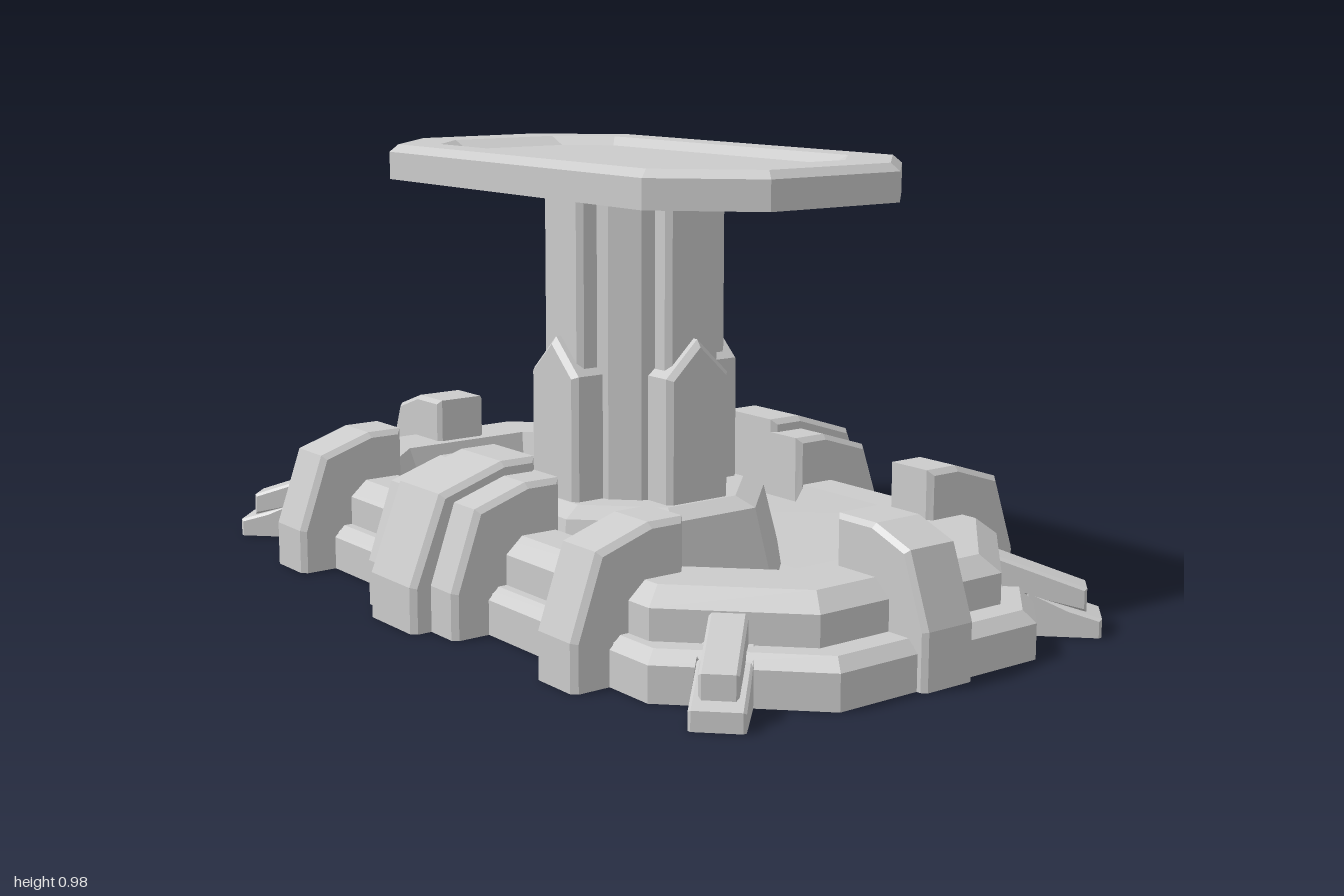
import * as THREE from 'three';

const material = new THREE.MeshStandardMaterial({ color: 0xcccccc, flatShading: true, side: THREE.DoubleSide });

function mesh(name, geometry) {
  const m = new THREE.Mesh(geometry, material);
  m.name = name;
  return m;
}

// Rectangle with cut corners: half sizes hx, hz and corner cut c
function octagon(hx, hz, c) {
  const a = hx - c, b = hz - c;
  return [[hx, b], [a, hz], [-a, hz], [-hx, b], [-hx, -b], [-a, -hz], [a, -hz], [hx, -b]];
}

// Open-bottomed shell through rings [y, hx, hz, c], closed by the last ring
function shell(name, rings) {
  const pos = [], index = [], n = 8;
  for (const [y, hx, hz, c] of rings) for (const [x, z] of octagon(hx, hz, c)) pos.push(x, y, z);
  for (let r = 0; r < rings.length - 1; r++) {
    for (let i = 0; i < n; i++) {
      const a = r * n + i, b = r * n + (i + 1) % n;
      index.push(a, a + n, b, b, a + n, b + n);
    }
  }
  const last = (rings.length - 1) * n;
  for (let i = 1; i < n - 1; i++) index.push(last, last + i + 1, last + i);
  const g = new THREE.BufferGeometry();
  g.setAttribute('position', new THREE.Float32BufferAttribute(pos, 3));
  g.setIndex(index);
  const flat = g.toNonIndexed();
  flat.computeVertexNormals();
  return mesh(name, flat);
}

// Bevelled slab: profile in x and y, centred across its width in z.
// Whatever dips below the ground is cut off there and left open.
function slab(name, points, width, bevel) {
  const shape = new THREE.Shape(points.map(p => new THREE.Vector2(...p)));
  const depth = width - 2 * bevel;
  const source = new THREE.ExtrudeGeometry(shape, {
    depth, bevelEnabled: true, bevelThickness: bevel, bevelSize: bevel, bevelOffset: -bevel, bevelSegments: 1,
  }).translate(0, 0, -depth / 2);
  const p = source.attributes.position, kept = [];
  for (let i = 0; i < p.count; i += 3) {
    const corners = [i, i + 1, i + 2];
    if (corners.every(k => p.getY(k) <= 0)) continue;
    for (const k of corners) kept.push(p.getX(k), Math.max(0, p.getY(k)), p.getZ(k));
  }
  const g = new THREE.BufferGeometry();
  g.setAttribute('position', new THREE.Float32BufferAttribute(kept, 3));
  g.computeVertexNormals();
  return mesh(name, g);
}

export function createModel() {
  const model = new THREE.Group();
  model.name = 'pedestalTable';

  // Stepped base with a sunken basin
  model.add(shell('base', [
    [0, 0.98, 0.52, 0.255], [0.075, 0.98, 0.52, 0.255], [0.1, 0.955, 0.495, 0.245],
    [0.1, 0.9, 0.475, 0.23], [0.165, 0.9, 0.475, 0.23], [0.2, 0.86, 0.435, 0.215],
    [0.2, 0.72, 0.35, 0.18], [0.02, 0.66, 0.29, 0.15],
  ]));

  // Flared collar round the foot of the column
  model.add(shell('collar', [
    [0, 0.34, 0.32, 0.19], [0.2, 0.285, 0.28, 0.165], [0.222, 0.24, 0.235, 0.14],
  ]));

  // Column: four flat pilasters with chamfered hollows between them
  const quarter = [[0.207, 0.058], [0.195, 0.07], [0.16, 0.07], [0.152, 0.1],
    [0.1, 0.152], [0.07, 0.16], [0.07, 0.195], [0.058, 0.207]];
  const outline = [];
  for (let k = 0; k < 4; k++) {
    for (const [x, y] of quarter) outline.push(new THREE.Vector2(x, y).rotateAround(new THREE.Vector2(), k * Math.PI / 2));
  }
  const columnGeometry = new THREE.ExtrudeGeometry(new THREE.Shape(outline), { depth: 0.74, bevelEnabled: false });
  columnGeometry.rotateX(-Math.PI / 2).translate(0, 0.2, 0);
  model.add(mesh('column', columnGeometry));

  // Pointed buttresses on the four sides of the column
  const pointed = [[-0.085, 0.15], [0.085, 0.15], [0.085, 0.5], [0, 0.58], [-0.085, 0.5]];
  for (let k = 0; k < 4; k++) {
    const buttress = slab('buttress', pointed, 0.13, 0.012);
    buttress.geometry.translate(0, 0, 0.167);
    buttress.rotation.y = k * Math.PI / 2;
    model.add(buttress);
  }

  // Ribs clamped over the rim, front and back, cut to sit on the base
  const seat = [[0.335, 0.16], [0.44, 0.17], [0.465, 0.09], [0.5, 0.08], [0.51, -0.02]];
  const rib = [...seat, [0.605, -0.02], [0.605, 0.1], [0.545, 0.27], [0.42, 0.31], [0.335, 0.31]];
  const bigRib = [...seat, [0.65, -0.02], [0.65, 0.1], [0.575, 0.29], [0.42, 0.34], [0.335, 0.34]];
  for (const side of [1, -1]) {
    for (const [name, x, profile, width] of [
      ['outerRib', -0.54, rib, 0.13], ['outerRib', 0.54, rib, 0.13],
      ['middleRib', 0, rib, 0.36], ['centreRib', 0, bigRib, 0.18],
    ]) {
      const r = slab(name, profile, width, 0.012);
      r.rotation.y = -side * Math.PI / 2;
      r.position.x = x;
      model.add(r);
    }
  }

  // Ribs at the two ends
  const endProfile = [[0.745, 0.18], [0.87, 0.17], [0.89, 0.09], [0.96, 0.08], [0.97, -0.02],
    [1, -0.02], [1, 0.12], [0.945, 0.27], [0.85, 0.305], [0.745, 0.305]];
  for (const angle of [0, Math.PI]) {
    const r = slab('endRib', endProfile, 0.135, 0.01);
    r.rotation.y = angle;
    model.add(r);
  }

  // Diagonal feet: a sloping bar on a wider toe
  const toe = [[0.085, -0.02], [0.238, -0.02], [0.238, 0.04], [0.17, 0.06], [0, 0.11], [0, 0.085], [0.08, 0.085]];
  const bar = [[-0.02, 0.1], [0.207, 0.05], [0.207, 0.1], [0, 0.17], [-0.05, 0.17]];
  for (const sx of [1, -1]) {
    for (const sz of [1, -1]) {
      const foot = new THREE.Group();
      foot.name = 'cornerFoot';
      foot.add(slab('toe', toe, 0.108, 0.006), slab('bar', bar, 0.076, 0.006));
      foot.position.set(0.76 * sx, 0, 0.35 * sz);
      foot.rotation.y = Math.atan2(-sz, sx);
      model.add(foot);
    }
  }

  // Table top with a shallow recess, open below
  model.add(shell('tableTop', [
    [0.9, 0.66, 0.35, 0.178], [0.963, 0.66, 0.35, 0.178], [0.98, 0.642, 0.332, 0.17],
    [0.98, 0.53, 0.25, 0.11], [0.96, 0.485, 0.228, 0.09],
  ]));

  return model;
}
